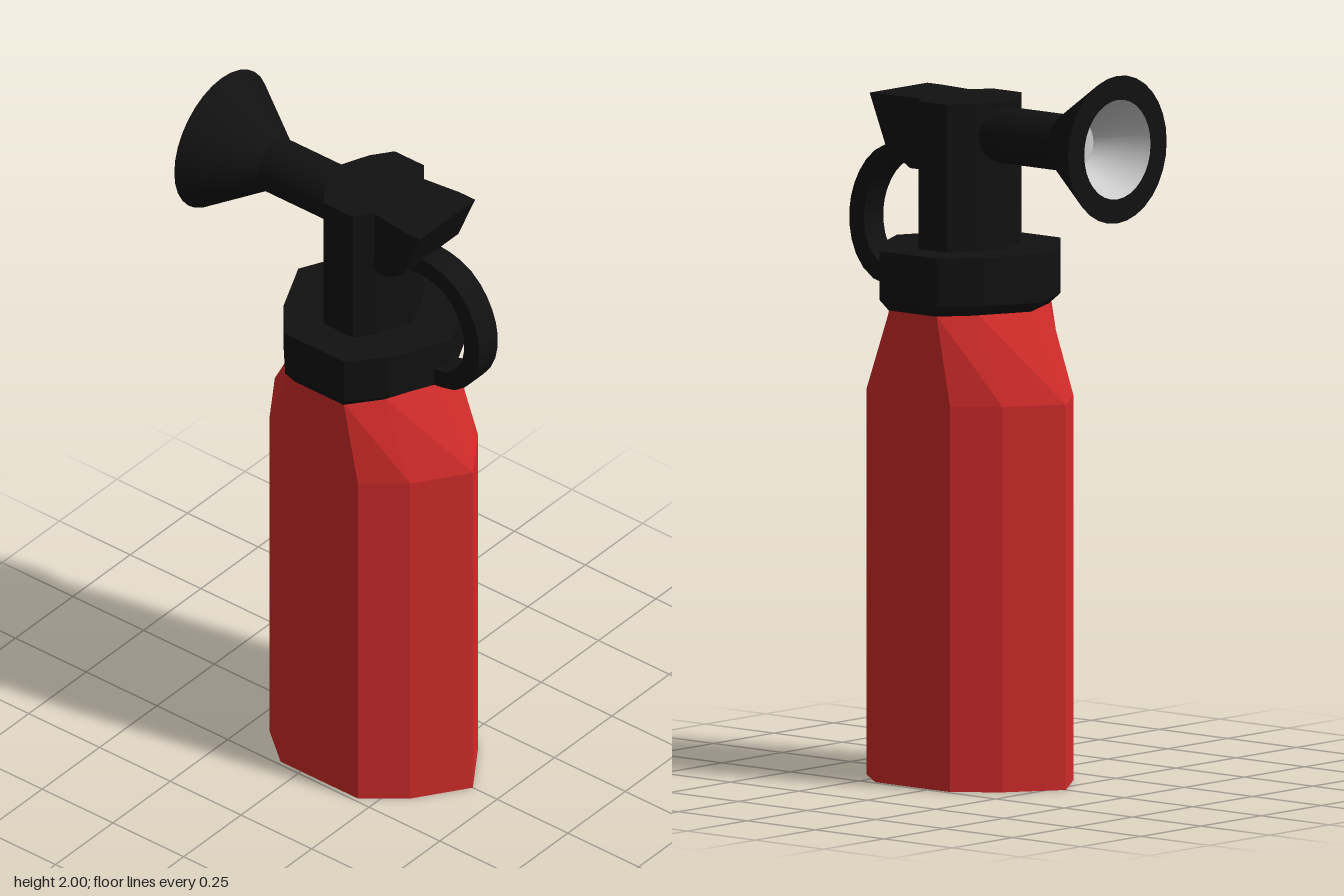
import * as THREE from 'three';

const red = new THREE.MeshStandardMaterial({ color: 0xd32c2a, flatShading: true });
const black = new THREE.MeshStandardMaterial({ color: 0x111111, flatShading: true });
const blackSmooth = new THREE.MeshStandardMaterial({ color: 0x111111 });
const grey = new THREE.MeshStandardMaterial({ color: 0xcccccc, side: THREE.DoubleSide });

const CX = 0.064; // x of the can's axis

// Unit ten-sided outline with wide front and back faces
const quarter = [[1, 0], [0.71, 0.62], [0.39, 1]];
const outline = [
  ...quarter,
  ...quarter.slice().reverse().map(([x, z]) => [-x, z]),
  ...quarter.slice(1).map(([x, z]) => [-x, -z]),
  ...quarter.slice(1).reverse().map(([x, z]) => [x, -z]),
];

// Closed solid through scaled outlines, each ring given as [y, halfX, halfZ]
function loft(rings) {
  const pos = [];
  const n = outline.length;
  const at = (r, i) => [CX + outline[i % n][0] * r[1], r[0], outline[i % n][1] * r[2]];
  const tri = (...corners) => corners.forEach((c) => pos.push(...c));
  const first = rings[0], last = rings[rings.length - 1];
  for (let i = 0; i < n; i++) {
    for (let k = 0; k < rings.length - 1; k++) {
      const a = at(rings[k], i), b = at(rings[k], i + 1);
      const c = at(rings[k + 1], i + 1), d = at(rings[k + 1], i);
      tri(a, d, c);
      tri(a, c, b);
    }
    tri([CX, last[0], 0], at(last, i + 1), at(last, i));
    tri([CX, first[0], 0], at(first, i), at(first, i + 1));
  }
  const g = new THREE.BufferGeometry();
  g.setAttribute('position', new THREE.Float32BufferAttribute(pos, 3));
  g.computeVertexNormals();
  return g;
}

// Side profile in x and y, extruded evenly about z = 0
function slab(points, width) {
  const g = new THREE.ExtrudeGeometry(new THREE.Shape(points), { depth: width, bevelEnabled: false });
  return g.translate(0, 0, -width / 2);
}

export function createModel() {
  const model = new THREE.Group();
  const add = (name, geometry, material, parent = model) => {
    const mesh = new THREE.Mesh(geometry, material);
    mesh.name = name;
    parent.add(mesh);
    return mesh;
  };
  const v = (x, y) => new THREE.Vector2(x, y);

  // Can with shoulders that narrow sideways only
  add('can', loft([[0, 0.35, 0.238], [1.07, 0.35, 0.238], [1.32, 0.22, 0.238]]), red);

  // Collar with a chamfered lower edge, and the valve block above it
  add('collar', loft([[1.315, 0.222, 0.239], [1.345, 0.267, 0.258], [1.48, 0.267, 0.258]]), black);
  add('valveBlock', loft([[1.47, 0.133, 0.155], [1.89, 0.133, 0.155]]), black);

  // Trigger, slightly narrower where it meets the block
  const trigger = slab([v(0.1, 1.69), v(0.195, 1.69), v(0.265, 1.745), v(0.325, 1.889), v(0.27, 1.889), v(0.1, 1.889)], 0.24);
  const p = trigger.attributes.position;
  for (let i = 0; i < p.count; i++) if (p.getX(i) < 0.2) p.setZ(i, p.getZ(i) * 0.83);
  trigger.computeVertexNormals();
  add('trigger', trigger, black);

  // Curved handle: flat band swept along a side curve
  const path = new THREE.CatmullRomCurve3(
    [[0.15, 1.72], [0.29, 1.72], [0.365, 1.69], [0.42, 1.62], [0.443, 1.53], [0.425, 1.44], [0.375, 1.385], [0.3, 1.37]]
      .map(([x, y]) => new THREE.Vector3(x, y, 0)));
  const outer = [], inner = [];
  for (let i = 0; i <= 18; i++) {
    const c = path.getPointAt(i / 18), t = path.getTangentAt(i / 18);
    outer.push(v(c.x - t.y * 0.027, c.y + t.x * 0.027));
    inner.unshift(v(c.x + t.y * 0.027, c.y - t.x * 0.027));
  }
  add('handle', slab([...outer, ...inner], 0.08), black);

  // Horn, turned about an axis that points along -x
  const horn = new THREE.Group();
  horn.name = 'horn';
  horn.position.y = 1.797;
  horn.rotation.z = Math.PI / 2;
  model.add(horn);
  const turned = (name, from, to, material) =>
    add(name, new THREE.LatheGeometry([v(...from), v(...to)], 32), material, horn);
  turned('hornTube', [0.078, 0], [0.078, 0.285], blackSmooth);
  turned('hornBell', [0.078, 0.285], [0.205, 0.475], blackSmooth);
  turned('hornRim', [0.205, 0.475], [0.138, 0.475], blackSmooth);
  turned('hornMouth', [0.138, 0.475], [0.065, 0.33], grey);
  turned('hornThroat', [0.065, 0.33], [0, 0.33], grey);

  return model;
}
